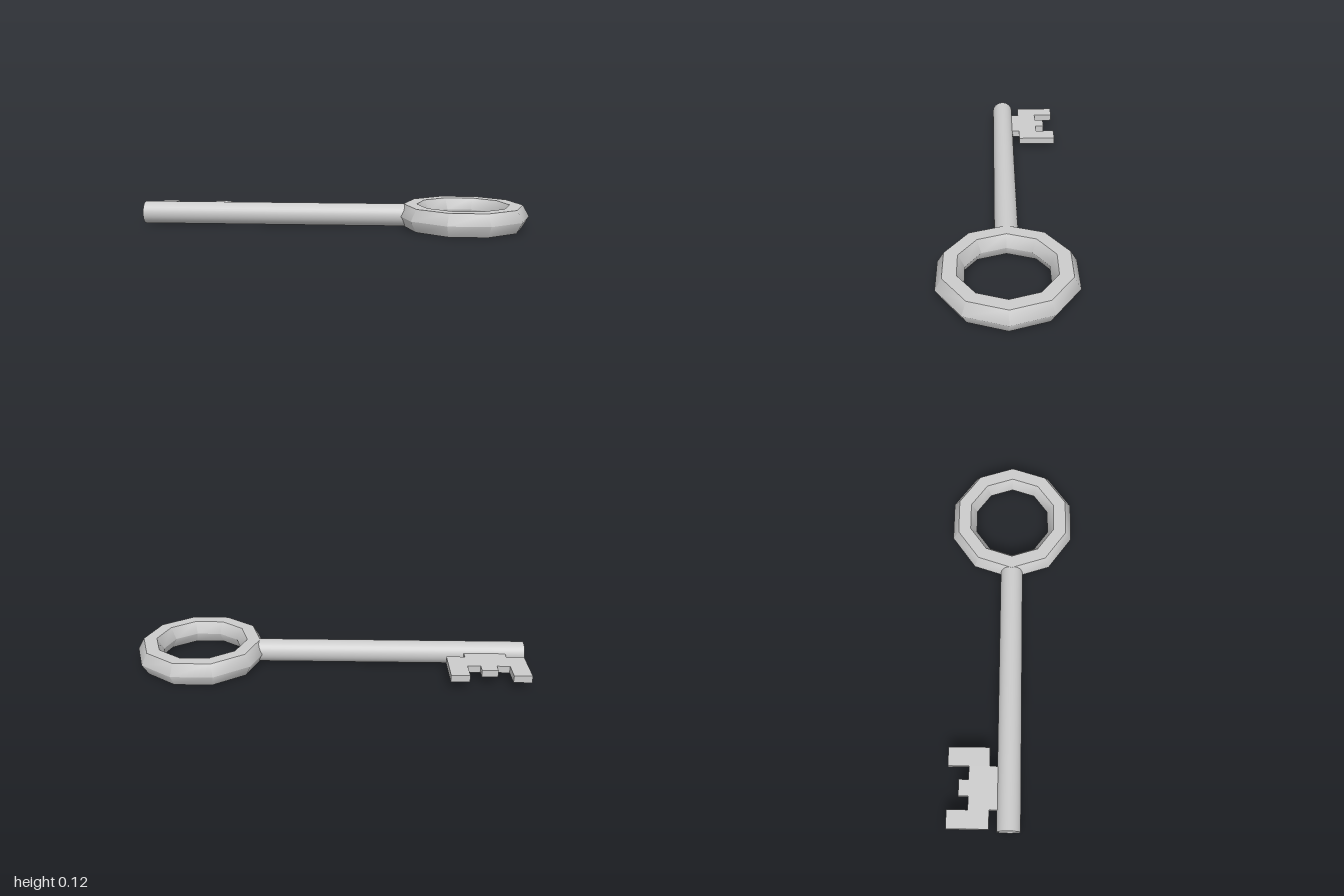
import * as THREE from 'three';
import { toCreasedNormals } from 'three/addons/utils/BufferGeometryUtils.js';

const MID = 0.058; // height of the key's centre plane

export function createModel() {
  const key = new THREE.Group();
  key.name = 'key';
  const material = new THREE.MeshStandardMaterial({ color: 0xcccccc });

  const add = (name, geometry) => {
    const mesh = new THREE.Mesh(geometry, material);
    mesh.name = name;
    key.add(mesh);
    return mesh;
  };

  // Ten-sided ring handle with a hexagonal section, sharp only at its flat faces
  const ring = new THREE.TorusGeometry(0.27, 0.0672, 6, 10).rotateX(Math.PI / 2);
  add('bow', toCreasedNormals(ring, 1.02)).position.set(0.663, MID, 0);

  // Round shaft, its inner end buried in the ring
  const start = -1, end = 0.4;
  const shaft = new THREE.CylinderGeometry(MID, MID, end - start, 32).rotateZ(Math.PI / 2);
  add('shaft', shaft).position.set((start + end) / 2, MID, 0);

  // Flat toothed bit on the back of the tip; outline is x against distance behind the shaft
  const outline = [
    [-0.9, 0.04], [-0.69, 0.04], [-0.69, 0.095], [-0.597, 0.095],
    [-0.597, 0.3], [-0.69, 0.3], [-0.69, 0.197], [-0.755, 0.197],
    [-0.755, 0.245], [-0.835, 0.245], [-0.835, 0.197], [-0.9, 0.197],
    [-0.9, 0.3], [-0.99, 0.3], [-0.99, 0.095], [-0.9, 0.095],
  ].map(([x, y]) => new THREE.Vector2(x, y));
  const thickness = 0.036;
  const bit = new THREE.ExtrudeGeometry(new THREE.Shape(outline), { depth: thickness, bevelEnabled: false });
  add('bit', bit.rotateX(-Math.PI / 2)).position.y = MID - thickness / 2;

  return key;
}
